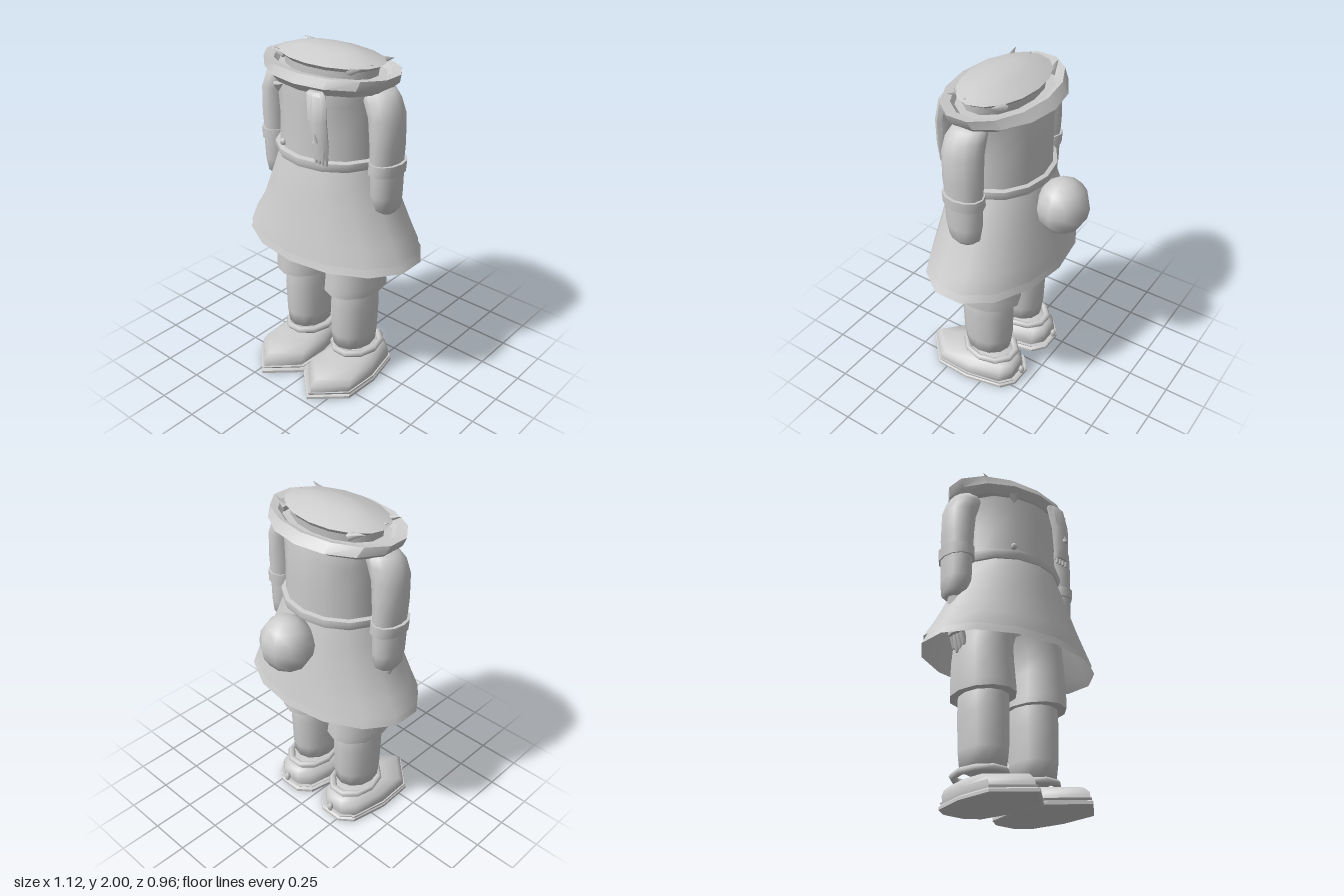
import * as THREE from 'three';
import { toCreasedNormals } from 'three/addons/utils/BufferGeometryUtils.js';

const grey = new THREE.MeshStandardMaterial({ color: 0xcccccc, side: THREE.DoubleSide });
grey.name = 'plain grey';

const CENTRE = -0.018; // the body's own middle line

// Loft through rings listed from low to high: [y, xMin, xMax, zMin, zMax].
// outline is an optional list of unit [x, z] points instead of an ellipse.
function loft(rings, { n = 14, outline = null, bottom = true, top = true, crease = 0.75 } = {}) {
  const unit = outline || Array.from({ length: n }, (_, j) => {
    const a = (j / n) * Math.PI * 2;
    return [Math.sin(a), Math.cos(a)];
  });
  const m = unit.length, pos = [], idx = [];
  for (const [y, x0, x1, z0, z1] of rings) {
    for (const [u, v] of unit) pos.push((x0 + x1) / 2 + u * (x1 - x0) / 2, y, (z0 + z1) / 2 + v * (z1 - z0) / 2);
  }
  for (let i = 0; i < rings.length - 1; i++) {
    for (let j = 0; j < m; j++) {
      const a = i * m + j, b = i * m + (j + 1) % m;
      idx.push(a, b, b + m, a, b + m, a + m);
    }
  }
  const cap = (i, flip) => {
    const [y, x0, x1, z0, z1] = rings[i], c = pos.length / 3;
    pos.push((x0 + x1) / 2, y, (z0 + z1) / 2);
    for (let j = 0; j < m; j++) {
      const a = i * m + j, b = i * m + (j + 1) % m;
      idx.push(c, flip ? b : a, flip ? a : b);
    }
  };
  if (bottom) cap(0, true);
  if (top) cap(rings.length - 1, false);
  const g = new THREE.BufferGeometry();
  g.setAttribute('position', new THREE.Float32BufferAttribute(pos, 3));
  g.setIndex(idx);
  return toCreasedNormals(g, crease);
}

function part(parent, name, geometry, x = 0, y = 0, z = 0) {
  const mesh = new THREE.Mesh(geometry, grey);
  mesh.name = name;
  mesh.position.set(x, y, z);
  parent.add(mesh);
  return mesh;
}

// Rings given for the +x side, mirrored when s is -1
const sided = (rings, s) => rings.map(([y, a, b, c, d]) => (s > 0 ? [y, a, b, c, d] : [y, -b, -a, c, d]));

const half = [[0.95, 0.5], [1, -0.15], [0.75, -0.82], [0.35, -1]];
const shoeOutline = [[0, 1], ...half, ...half.map(([x, z]) => [-x, z]).reverse()];

function buildLeg(s) {
  const leg = new THREE.Group();
  leg.name = s > 0 ? 'leftLeg' : 'rightLeg';
  const add = (name, rings, opt) => part(leg, name, loft(sided(rings, s), opt));

  add('sole', [
    [0, 0.0, 0.36, -0.18, 0.46], [0.006, -0.008, 0.375, -0.195, 0.48], [0.022, -0.008, 0.375, -0.195, 0.48],
    [0.03, 0.008, 0.368, -0.18, 0.462], [0.042, 0.0, 0.37, -0.19, 0.47],
  ], { outline: shoeOutline, crease: 0.4 });
  add('shoe', [
    [0.04, 0.02, 0.36, -0.17, 0.455], [0.075, 0.02, 0.365, -0.175, 0.45], [0.108, 0.033, 0.35, -0.17, 0.41],
    [0.135, 0.07, 0.31, -0.15, 0.29], [0.148, 0.1, 0.275, -0.11, 0.2],
  ], { outline: shoeOutline, crease: 1 });
  // ankle strap, dipping slightly to the heel
  const strap = new THREE.TorusGeometry(0.13, 0.02, 6, 10);
  strap.rotateX(Math.PI / 2).scale(1, 1, 1.24).rotateX(-0.03);
  part(leg, 'ankleStrap', strap, s * 0.185, 0.18, 0.025);
  part(leg, 'heelButton', new THREE.SphereGeometry(0.018, 6, 5).scale(1, 1.7, 1), s * 0.19, 0.09, -0.203);

  add('lowerLeg', [
    [0.195, 0.085, 0.275, -0.06, 0.15], [0.215, 0.06, 0.3, -0.098, 0.187], [0.3, 0.052, 0.308, -0.11, 0.2],
    [0.5, 0.05, 0.315, -0.117, 0.205], [0.6, 0.05, 0.313, -0.115, 0.2], [0.66, 0.06, 0.3, -0.1, 0.19],
  ], { n: 12, crease: 1.2 });
  add('trouserLeg', [
    [0.612, 0.07, 0.32, -0.13, 0.22], [0.612, 0.022, 0.353, -0.168, 0.257], [0.66, 0.025, 0.356, -0.165, 0.255],
    [0.8, 0.035, 0.354, -0.157, 0.245], [0.9, 0.04, 0.345, -0.15, 0.24], [1.02, 0.0, 0.33, -0.15, 0.24],
  ], { n: 12 });
  return leg;
}

function buildArm(s) {
  const arm = new THREE.Group();
  arm.name = s > 0 ? 'leftArm' : 'rightArm';
  const add = (name, rings, opt) => part(arm, name, loft(sided(rings, s), opt));

  add('sleeve', [
    [1.4, 0.31, 0.463, -0.072, 0.15], [1.55, 0.305, 0.473, -0.077, 0.157], [1.7, 0.29, 0.472, -0.077, 0.158],
    [1.78, 0.25, 0.448, -0.07, 0.15], [1.83, 0.22, 0.41, -0.06, 0.125], [1.845, 0.22, 0.36, -0.03, 0.09],
  ], { n: 12, crease: 1.2 });
  add('cuff', [
    [1.39, 0.31, 0.46, -0.07, 0.145], [1.39, 0.298, 0.478, -0.084, 0.162],
    [1.455, 0.3, 0.484, -0.084, 0.162], [1.455, 0.315, 0.465, -0.07, 0.148],
  ], { n: 12 });
  add('forearm', [
    [1.155, 0.34, 0.44, -0.03, 0.1], [1.18, 0.32, 0.458, -0.058, 0.13], [1.26, 0.312, 0.467, -0.067, 0.146],
    [1.42, 0.31, 0.472, -0.07, 0.152],
  ], { n: 12, crease: 1.2 });
  // hand hanging inside the skirt
  add('hand', [
    [0.94, 0.33, 0.4, -0.03, 0.085], [1.03, 0.335, 0.41, -0.04, 0.1], [1.12, 0.355, 0.42, -0.02, 0.08],
    [1.17, 0.36, 0.43, 0.0, 0.07],
  ], { n: 8, crease: 1.2 });
  for (let i = 0; i < 4; i++) {
    const z = -0.015 + i * 0.028, low = 0.85 + Math.abs(i - 1.5) * 0.015 - (i === 1 ? 0.015 : 0);
    add('finger', [
      [low, 0.335, 0.355, z - 0.008, z + 0.008], [low + 0.02, 0.328, 0.362, z - 0.014, z + 0.014],
      [0.96, 0.345, 0.385, z - 0.015, z + 0.015],
    ], { n: 6, crease: 1.2 });
  }
  return arm;
}

export function createModel() {
  const model = new THREE.Group();
  model.name = 'headlessFigure';
  const body = new THREE.Group();
  body.name = 'body';
  body.position.x = CENTRE;
  model.add(body);

  for (const s of [1, -1]) body.add(buildLeg(s), buildArm(s));

  part(body, 'torso', loft([
    [1.38, -0.31, 0.31, -0.21, 0.295], [1.6, -0.3, 0.3, -0.212, 0.29], [1.75, -0.31, 0.31, -0.21, 0.295],
    [1.86, -0.34, 0.34, -0.19, 0.29],
  ]));
  part(body, 'belt', loft([
    [1.39, -0.31, 0.31, -0.21, 0.29], [1.395, -0.325, 0.325, -0.23, 0.312], [1.42, -0.335, 0.335, -0.237, 0.322],
    [1.445, -0.335, 0.335, -0.235, 0.32], [1.452, -0.3, 0.3, -0.2, 0.29],
  ]));

  // open flared skirt with a longer petticoat below the hem
  const open = { n: 14, bottom: false, top: false, crease: 1 };
  part(model, 'skirt', loft([
    [0.905, -0.568, 0.552, -0.332, 0.412], [1.0, -0.508, 0.495, -0.312, 0.392], [1.1, -0.452, 0.44, -0.293, 0.37],
    [1.2, -0.408, 0.392, -0.272, 0.35], [1.3, -0.365, 0.342, -0.252, 0.33], [1.4, -0.33, 0.3, -0.228, 0.305],
  ], open));
  part(model, 'petticoat', loft([
    [0.86, -0.575, 0.57, -0.34, 0.418], [0.92, -0.545, 0.53, -0.322, 0.4], [1.1, -0.44, 0.43, -0.285, 0.36],
  ], open));

  part(body, 'tailBall', new THREE.SphereGeometry(0.16, 10, 8).scale(0.97, 1.03, 0.92), 0.003, 1.295, -0.338);

  // wide collar ring and the domed top
  part(body, 'collar', loft([
    [1.815, -0.35, 0.35, -0.19, 0.29], [1.82, -0.365, 0.365, -0.2, 0.3], [1.862, -0.408, 0.408, -0.268, 0.335],
    [1.912, -0.43, 0.43, -0.222, 0.308], [1.905, -0.37, 0.37, -0.195, 0.265], [1.88, -0.34, 0.34, -0.18, 0.25],
  ], { n: 14, crease: 0.4 }));
  part(body, 'neckBand', loft([
    [1.87, -0.29, 0.29, -0.14, 0.22], [1.935, -0.3, 0.3, -0.15, 0.225],
  ]));
  part(body, 'domedTop', loft([
    [1.925, -0.3, 0.3, -0.15, 0.225], [1.948, -0.335, 0.335, -0.167, 0.245], [1.965, -0.28, 0.28, -0.13, 0.205],
    [1.99, -0.19, 0.19, -0.055, 0.13], [2.0, -0.115, 0.115, -0.02, 0.093],
  ], { n: 16, crease: 0.5 }));
  for (const s of [1, -1]) {
    for (const z of [-0.1, 0.07, 0.17]) {
      const tuft = part(body, 'edgeTuft', new THREE.ConeGeometry(0.025, 0.1, 4), s * 0.27, 1.945, z);
      tuft.rotation.set(0.5, 0, -s * 1.2);
    }
  }

  // small hanging hand ornament on the chest
  const ornament = new THREE.Group();
  ornament.name = 'chestOrnament';
  model.add(ornament);
  part(ornament, 'ornamentStrip', loft([
    [1.49, 0.105, 0.2, 0.295, 0.345], [1.56, 0.1, 0.205, 0.29, 0.355], [1.7, 0.08, 0.2, 0.295, 0.365],
    [1.83, 0.055, 0.185, 0.285, 0.345], [1.845, 0.07, 0.165, 0.29, 0.33],
  ], { n: 8 }));
  for (let i = 0; i < 4; i++) {
    part(ornament, 'ornamentFinger', new THREE.CylinderGeometry(0.013, 0.009, 0.05, 6), 0.12 + i * 0.023, 1.485, 0.32);
  }
  part(ornament, 'ornamentThumb', new THREE.ConeGeometry(0.02, 0.05, 4), 0.15, 1.62, 0.358);

  // chest point and waist button
  const point = part(model, 'chestPoint', new THREE.ConeGeometry(0.035, 0.05, 4), -0.18, 1.79, 0.28);
  point.rotation.z = Math.PI;
  part(model, 'waistButton', new THREE.SphereGeometry(0.02, 6, 5), -0.17, 1.48, 0.265);
  return model;
}
